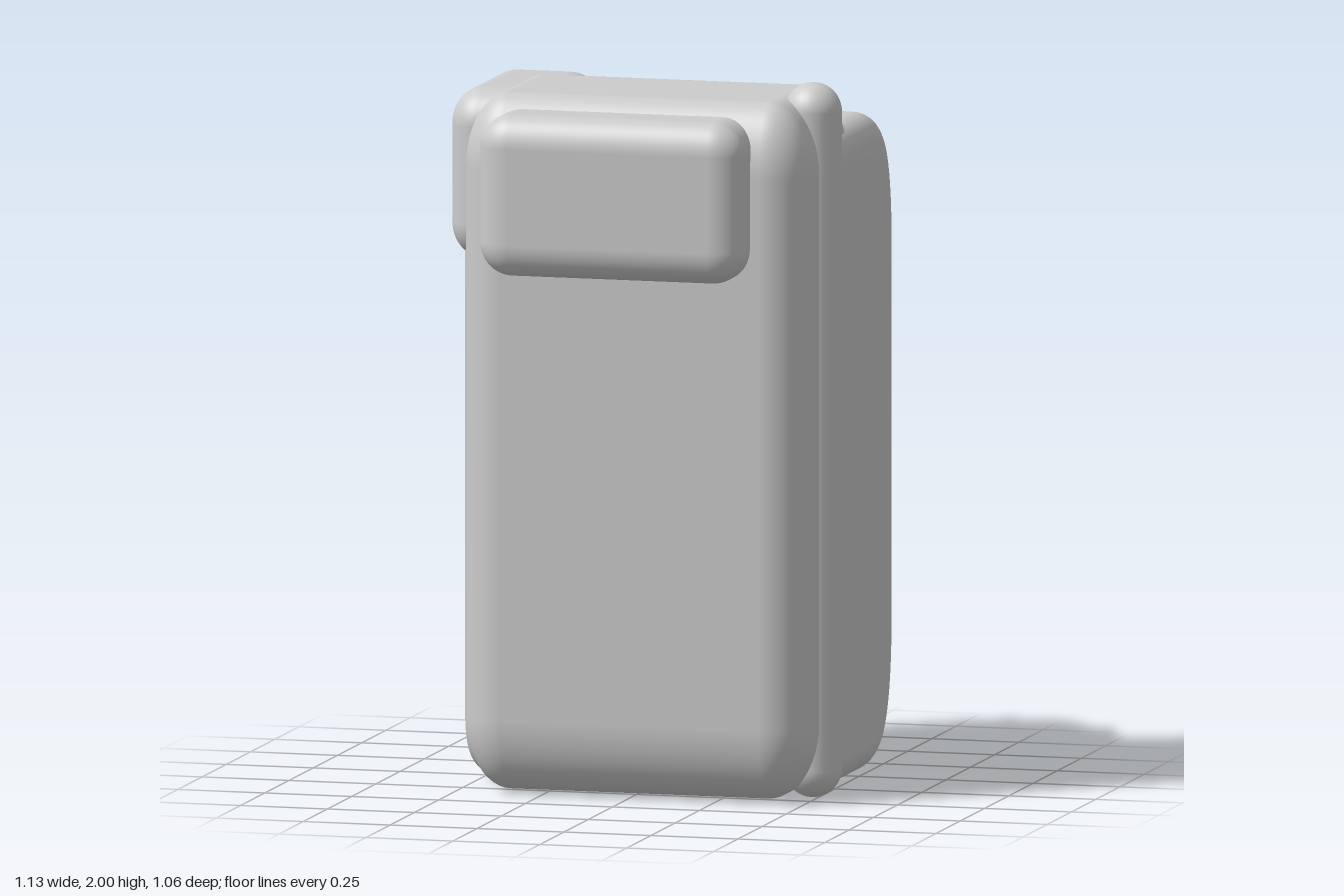
import * as THREE from 'three';
import { RoundedBoxGeometry } from 'three/addons/geometries/RoundedBoxGeometry.js';
import { toCreasedNormals } from 'three/addons/utils/BufferGeometryUtils.js';

const grey = new THREE.MeshStandardMaterial({ color: 0xcccccc });
grey.name = 'plain grey';

// Soft block between two corners; stretch makes the rounding longer along each axis
function softBlock(name, min, max, radius, stretch = [1, 1, 1]) {
  const size = min.map((v, i) => (max[i] - v) / stretch[i]);
  const geo = new RoundedBoxGeometry(...size, 8, radius);
  geo.scale(...stretch);
  geo.translate(...min.map((v, i) => (v + max[i]) / 2));
  const mesh = new THREE.Mesh(geo, grey);
  mesh.name = name;
  return mesh;
}

// Upright slab with long curved rear corners and softly rolled edges
function sideSlab(name, x0, x1) {
  const roll = 0.08, depth = 0.075;
  const back = -0.53 + roll, front = 0.2 - roll, low = 0.01 + roll, high = 1.85 - roll;
  const s = new THREE.Shape();
  s.moveTo(front - 0.08, low);
  s.quadraticCurveTo(front, low, front, low + 0.12);
  s.lineTo(front, high - 0.12);
  s.quadraticCurveTo(front, high, front - 0.08, high);
  s.lineTo(-0.3, high);
  s.bezierCurveTo(-0.38, high, back, high - 0.07, back, high - 0.32);
  s.lineTo(back, low + 0.36);
  s.bezierCurveTo(back, low + 0.08, -0.38, low, -0.28, low);
  s.closePath();
  let geo = new THREE.ExtrudeGeometry(s, {
    depth: x1 - x0 - 2 * depth, bevelThickness: depth, bevelSize: roll,
    bevelSegments: 8, curveSegments: 14,
  });
  // Profile runs along z, thickness along x
  geo.rotateY(-Math.PI / 2);
  geo.translate(x1 - depth, 0, 0);
  geo = toCreasedNormals(geo, 0.7);
  const mesh = new THREE.Mesh(geo, grey);
  mesh.name = name;
  return mesh;
}

export function createModel() {
  const model = new THREE.Group();
  model.name = 'paddedCase';

  // Main case
  model.add(softBlock('body', [-0.475, 0.01, -0.165], [0.52, 1.96, 0.41], 0.12, [1.05, 1.7, 1]));

  // Slabs reaching backwards on both sides
  model.add(sideSlab('leftSlab', 0.31, 0.535));
  model.add(sideSlab('rightSlab', -0.527, -0.3));

  // Raised pads
  model.add(softBlock('frontPad', [-0.39, 1.47, 0.25], [0.37, 1.922, 0.527], 0.08, [1.15, 1.15, 0.9]));
  model.add(softBlock('sidePad', [-0.565, 1.465, -0.31], [-0.23, 1.945, 0.21], 0.09, [1, 1.15, 1.1]));
  model.add(softBlock('innerPad', [-0.45, 0.25, -0.41], [-0.26, 1.35, -0.1], 0.07, [1, 1.8, 1.2]));

  // Round-ended rod up the left side
  const rod = new THREE.Mesh(new THREE.CapsuleGeometry(0.08, 1.84, 12, 28), grey);
  rod.name = 'sideRod';
  rod.position.set(0.483, 1, 0.163);
  model.add(rod);

  return model;
}
